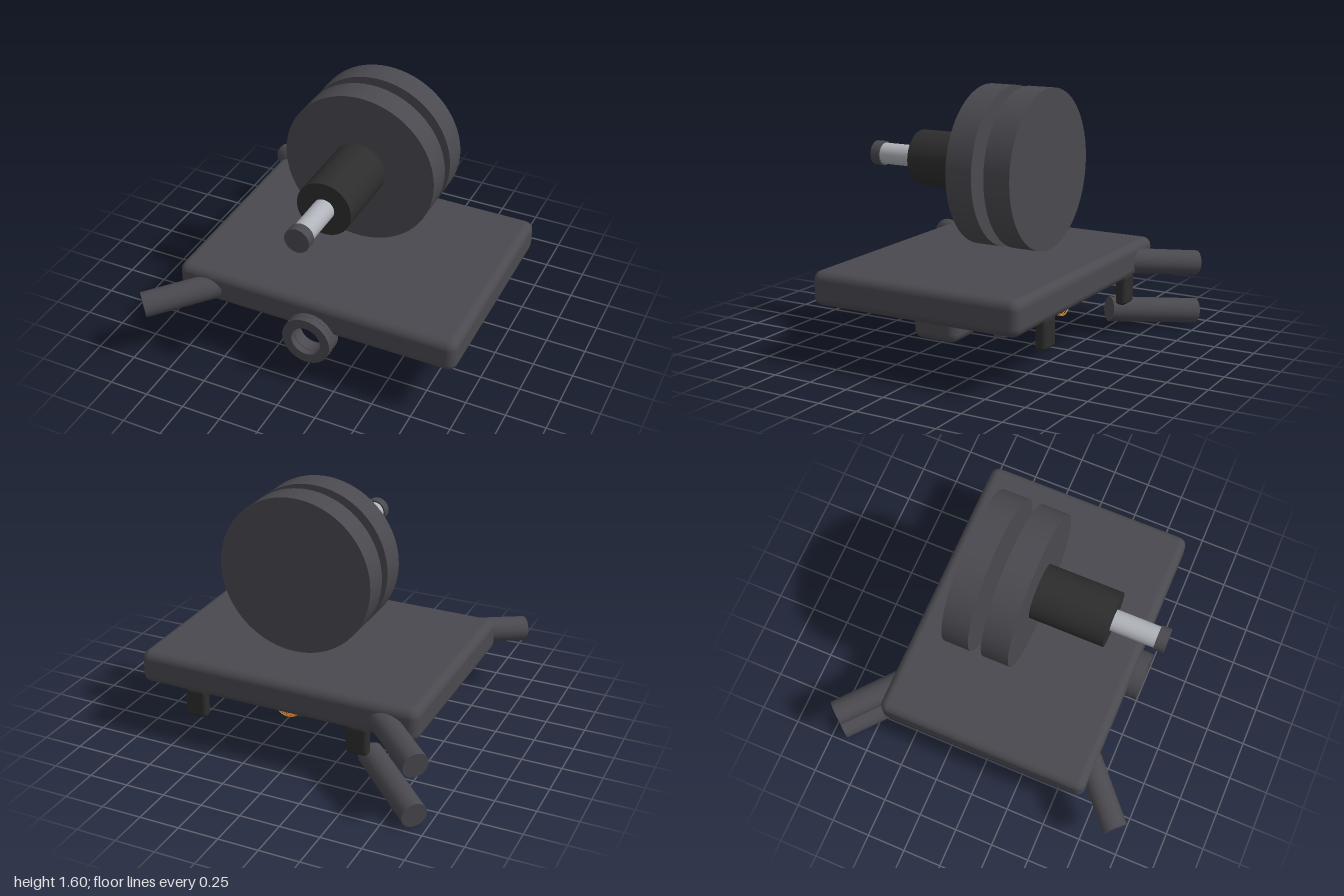
import * as THREE from 'three';
import { RoundedBoxGeometry } from 'three/addons/geometries/RoundedBoxGeometry.js';

const CX = 0.07; // shared centre line of the machine

export function createModel() {
  const model = new THREE.Group();
  model.name = 'model';

  const material = (name, color) => {
    const m = new THREE.MeshStandardMaterial({ color });
    m.name = name;
    return m;
  };
  const grey = material('graphite grey', 0x4a494f);
  const black = material('matt black', 0x2d2d2d);
  const silver = material('silver', 0xb0b3ba);
  const orange = material('copper orange', 0xe08628);

  const add = (name, geometry, mat, x = 0, y = 0, z = 0) => {
    const mesh = new THREE.Mesh(geometry, mat);
    mesh.name = name;
    mesh.position.set(x, y, z);
    model.add(mesh);
    return mesh;
  };
  const box = (name, mat, w, h, d, r, x, y, z) =>
    add(name, new RoundedBoxGeometry(w, h, d, 3, r), mat, x, y, z);

  // cylinder along z between two depths
  const barrel = (name, mat, radius, z0, z1, y, sides = 48) => {
    const g = new THREE.CylinderGeometry(radius, radius, z1 - z0, sides).rotateX(Math.PI / 2);
    return add(name, g, mat, CX, y, (z0 + z1) / 2);
  };

  // flat-sided ring with its axis along z
  const ring = (name, mat, outer, inner, z0, z1, y) => {
    const shape = new THREE.Shape().absarc(0, 0, outer, 0, Math.PI * 2, false);
    shape.holes.push(new THREE.Path().absarc(0, 0, inner, 0, Math.PI * 2, true));
    const g = new THREE.ExtrudeGeometry(shape, { depth: z1 - z0, bevelEnabled: false, curveSegments: 40 });
    return add(name, g, mat, CX, y, z0);
  };

  // round rod between two points
  const rod = (name, mat, radius, from, to) => {
    const a = new THREE.Vector3(...from), b = new THREE.Vector3(...to);
    const dir = b.clone().sub(a);
    const mesh = add(name, new THREE.CylinderGeometry(radius, radius, dir.length(), 24), mat);
    mesh.position.copy(a).add(b).multiplyScalar(0.5);
    mesh.quaternion.setFromUnitVectors(new THREE.Vector3(0, 1, 0), dir.normalize());
  };

  // main slab
  box('body', grey, 1.81, 0.21, 1.37, 0.055, 0.075, 0.465, 0);

  // twin discs, hub, shaft and cap
  barrel('frontDisc', grey, 0.485, -0.148, 0.023, 1.12, 72);
  barrel('rearDisc', grey, 0.485, -0.398, -0.23, 1.12, 72);
  barrel('hub', black, 0.172, 0.02, 0.493, 1.12);
  barrel('shaft', silver, 0.067, 0.49, 0.775, 1.12, 32);
  barrel('shaftCap', grey, 0.077, 0.77, 0.833, 1.12, 32);

  // slanted rods at the right-hand corners
  for (const [name, drop, side] of [
    ['frontRod', 0, 1], ['rearRod', 0, -1], ['lowerRearRod', -0.32, -1],
  ]) {
    rod(name, grey, 0.079, [-0.49, 0.468 + drop, side * 0.54], [-0.93, 0.404 + drop, side * 0.943]);
  }

  // front ring with small radial pins, and the matching ring below the slab
  ring('frontRing', grey, 0.155, 0.095, 0.633, 0.755, 0.335);
  ring('rearRing', grey, 0.155, 0.095, -0.375, -0.25, 0.335);
  const pinCount = 36;
  for (let i = 0; i < pinCount; i++) {
    const a = (i / pinCount) * Math.PI * 2;
    const c = Math.cos(a), s = Math.sin(a);
    rod('ringPin', grey, 0.005,
      [CX + c * 0.09, 0.335 + s * 0.09, 0.71], [CX + c * 0.158, 0.335 + s * 0.158, 0.71]);
  }

  // copper ring and coil
  add('copperRing', new THREE.TorusGeometry(0.07, 0.014, 12, 40), orange, CX, 0.335, 0.333);
  add('copperBar', new THREE.BoxGeometry(0.12, 0.012, 0.02), orange, CX, 0.35, 0.333);
  for (let i = 0; i < 7; i++) {
    add('coilTurn', new THREE.TorusGeometry(0.091, 0.004, 8, 40), orange, CX, 0.335, -0.41 - i * 0.015);
  }

  // inner axle under the slab
  barrel('innerAxle', silver, 0.03, -0.2, 0.2, 0.315, 20);
  barrel('innerAxleCap', black, 0.055, 0.185, 0.205, 0.34, 28);

  // mirrored parts on the underside
  for (const side of [-1, 1]) {
    const outer = CX + side * 0.53, inner = CX + side * 0.22;
    box('outerPad', grey, 0.275, 0.21, 0.295, 0.055, outer, 0.285, 0);
    box('innerPad', grey, 0.275, 0.21, 0.295, 0.055, inner, 0.285, 0);
    box('rearTab', black, 0.14, 0.19, 0.07, 0.025, outer, 0.305, -0.657);
    box('middleTab', black, 0.14, 0.19, 0.06, 0.025, inner, 0.305, -0.163);
    box('outerPlate', black, 0.2, 0.11, 0.026, 0.01, outer, 0.325, 0.412);
    box('innerPlate', black, 0.2, 0.11, 0.026, 0.01, inner, 0.325, 0.163);
    add('peg', new THREE.CylinderGeometry(0.055, 0.055, 0.13, 28), grey, outer, 0.313, -0.385);
  }

  return model;
}
